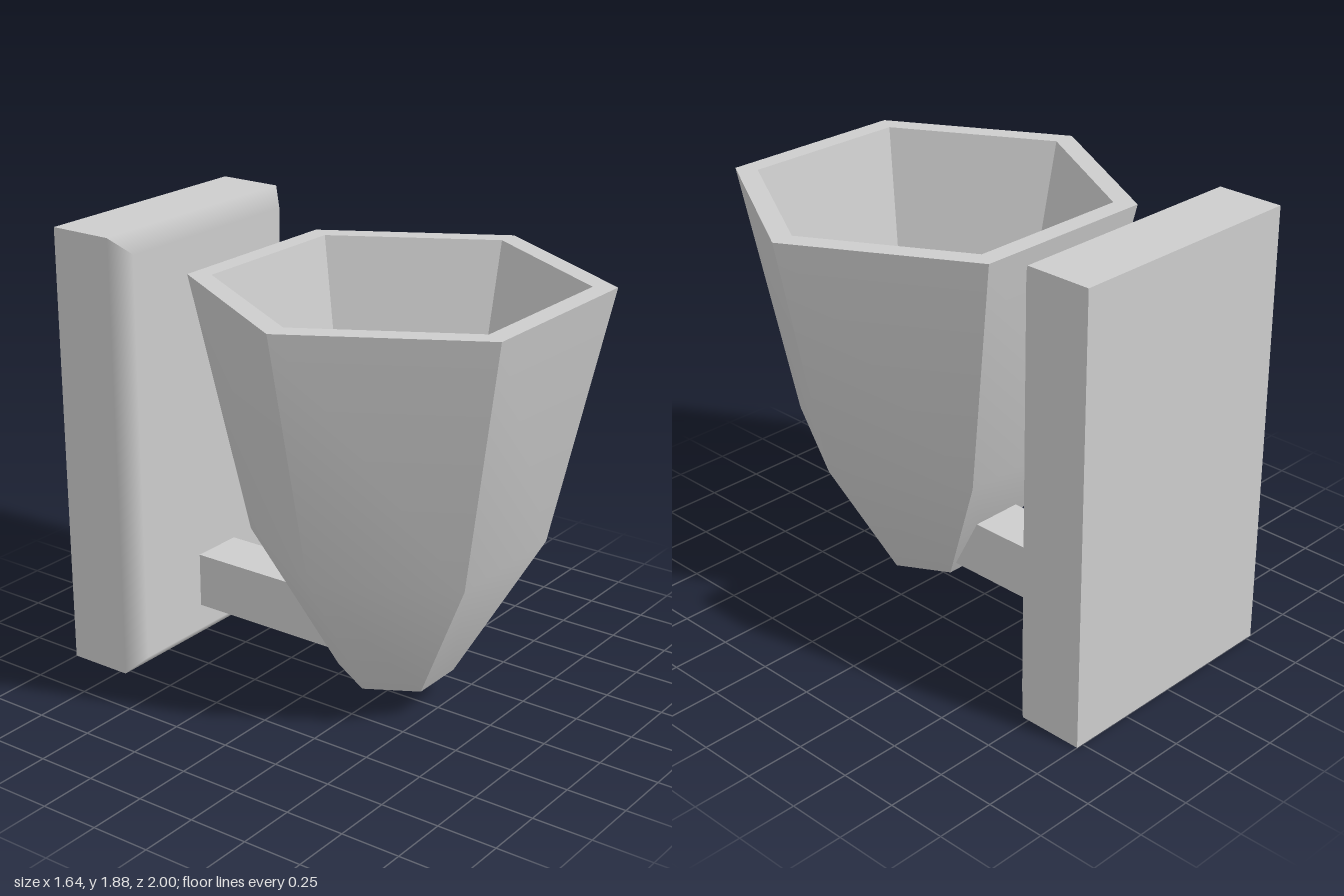
import * as THREE from 'three';
import { mergeGeometries } from 'three/addons/utils/BufferGeometryUtils.js';

const grey = new THREE.MeshStandardMaterial({ color: 0xcccccc });
grey.name = 'light grey';

// Six-sided surface from a (radius, y) profile: sharp between sides, smooth along each side
function hexSurface(profile) {
  const points = profile.map(([r, y]) => new THREE.Vector2(r, y));
  const sides = [];
  for (let k = 0; k < 6; k++) {
    const side = new THREE.LatheGeometry(points, 1, Math.PI / 2 + k * Math.PI / 3, Math.PI / 3);
    side.computeVertexNormals();
    sides.push(side);
  }
  return mergeGeometries(sides);
}

// Block whose front edges are bevelled, with normals blending from each side to the front
function bevelledPlate(w, h, back, front, bevel) {
  const pos = [], nor = [];
  const quad = (corners, normals) => {
    for (const i of [0, 1, 2, 0, 2, 3]) {
      pos.push(...corners[i]);
      nor.push(...normals[i]);
    }
  };
  const ring = (inset, z) => [[-1, -1], [1, -1], [1, 1], [-1, 1]]
    .map(([sx, sy]) => [sx * (w / 2 - inset), h / 2 + sy * (h / 2 - inset), z]);
  const rear = ring(0, back), edge = ring(0, front - bevel), face = ring(bevel, front);
  const f = [0, 0, 1], b = [0, 0, -1];
  const sideNormals = [[0, -1, 0], [1, 0, 0], [0, 1, 0], [-1, 0, 0]];
  for (let i = 0; i < 4; i++) {
    const j = (i + 1) % 4, n = sideNormals[i];
    quad([rear[i], rear[j], edge[j], edge[i]], [n, n, n, n]);
    quad([edge[i], edge[j], face[j], face[i]], [n, n, f, f]);
  }
  quad(face, [f, f, f, f]);
  quad([...rear].reverse(), [b, b, b, b]);
  const g = new THREE.BufferGeometry();
  g.setAttribute('position', new THREE.Float32BufferAttribute(pos, 3));
  g.setAttribute('normal', new THREE.Float32BufferAttribute(nor, 3));
  return g;
}

export function createModel() {
  const model = new THREE.Group();
  model.name = 'wallHolder';
  const add = (name, geometry, parent = model) => {
    const mesh = new THREE.Mesh(geometry, grey);
    mesh.name = name;
    parent.add(mesh);
    return mesh;
  };

  // Wall plate
  add('wallPlate', bevelledPlate(1.06, 1.88, -1, -0.65, 0.07));

  // Square arm running from the plate into the solid foot of the cup
  add('arm', new THREE.BoxGeometry(0.23, 0.235, 0.8)).position.set(0, 0.297, -0.3);

  // Hexagonal cup
  const cup = new THREE.Group();
  cup.name = 'cup';
  cup.position.z = 0.29;
  model.add(cup);
  add('cupOuterWall', hexSurface([[0.235, 0.12], [0.59, 0.71], [0.82, 1.76]]), cup);
  add('cupRim', hexSurface([[0.82, 1.76], [0.725, 1.76]]), cup);
  add('cupInnerWall', hexSurface([[0.725, 1.76], [0.49, 0.71]]), cup);
  add('cupFloor', hexSurface([[0.49, 0.71], [0, 0.71]]), cup);
  add('cupBase', hexSurface([[0, 0.12], [0.235, 0.12]]), cup);

  return model;
}
